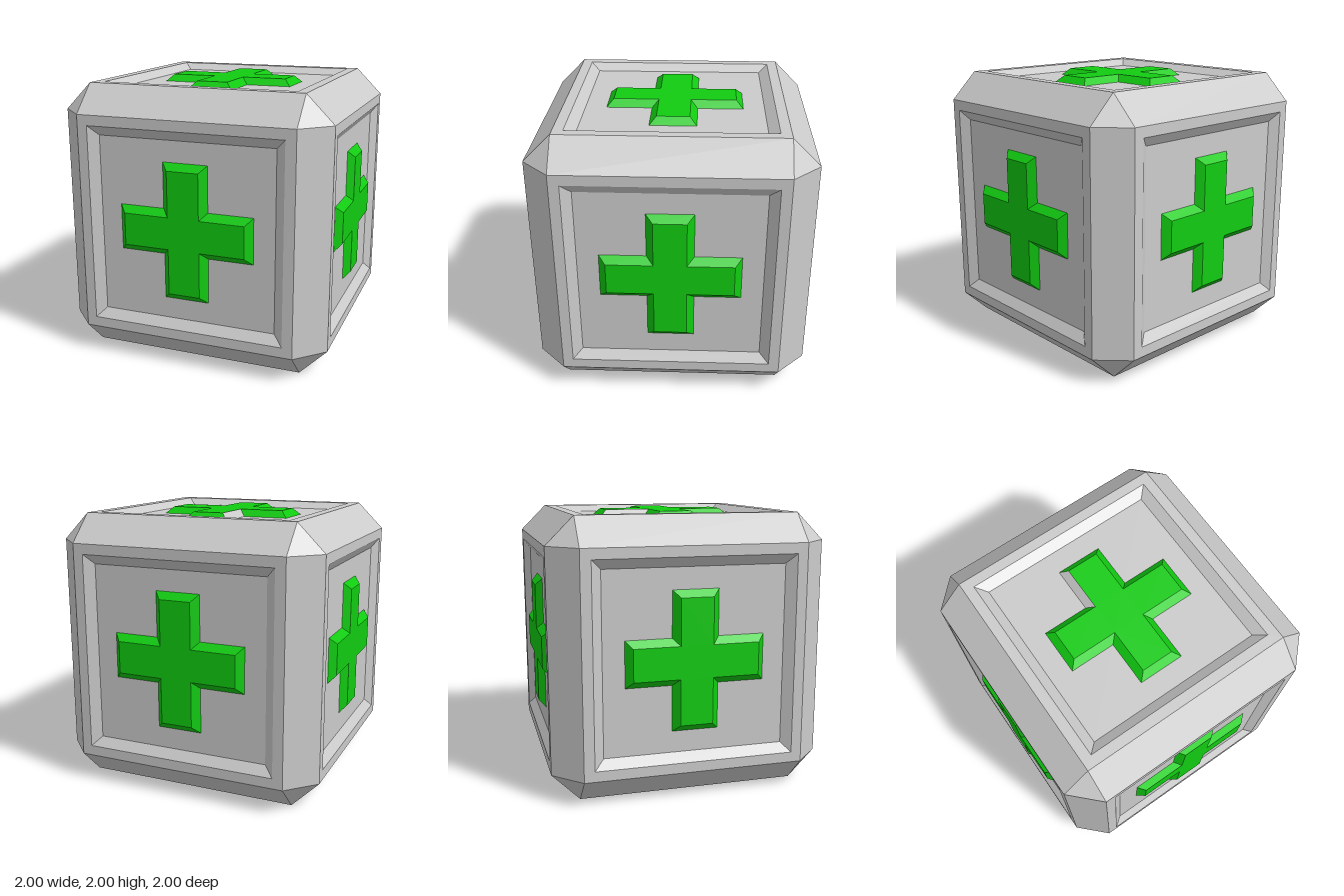
import * as THREE from 'three';
import { mergeGeometries } from 'three/addons/utils/BufferGeometryUtils.js';

const grey = new THREE.MeshStandardMaterial({ color: 0xcccccc, flatShading: true });
const green = new THREE.MeshStandardMaterial({ color: 0x11cc11, flatShading: true });
const QUARTER = Math.PI / 2;

// Flat convex polygon from counter-clockwise corners
function polygon(...corners) {
  const points = [];
  for (let i = 1; i < corners.length - 1; i++) points.push(corners[0], corners[i], corners[i + 1]);
  const g = new THREE.BufferGeometry().setFromPoints(points.map(p => new THREE.Vector3(...p)));
  g.computeVertexNormals();
  return g;
}

// One polygon per side of the band between two matching loops
const band = (a, b) => a.map((p, i) => {
  const j = (i + 1) % a.length;
  return polygon(p, a[j], b[j], b[i]);
});

const squareLoop = (h, z) => [[-h, -h, z], [h, -h, z], [h, h, z], [-h, h, z]];

// Cross outline: arm reach r, half width w, starting at the bottom left
const crossLoop = (r, w, z) => [
  [-w, -r], [w, -r], [w, -w], [r, -w], [r, w], [w, w],
  [w, r], [-w, r], [-w, w], [-r, w], [-r, -w], [-w, -w],
].map(([x, y]) => [x, y, z]);

function addMesh(parent, name, geometries, material) {
  const mesh = new THREE.Mesh(mergeGeometries(geometries), material);
  mesh.name = name;
  parent.add(mesh);
}

function createFace(name, hasGreySide) {
  const face = new THREE.Group();
  face.name = name;

  // Rim, sloping recess walls and sunken floor
  const outer = squareLoop(0.8, 1);
  const lip = squareLoop(0.725, 1);
  const floor = squareLoop(0.655, 0.95);
  addMesh(face, 'recessedPanel', [...band(outer, lip), ...band(lip, floor), polygon(...floor)], grey);

  // Bevelled cross standing on the floor
  const top = crossLoop(0.45, 0.117, 1);
  const sides = band(crossLoop(0.5, 0.167, 0.95), top);
  if (hasGreySide) addMesh(face, 'greyCrossSide', sides.splice(7, 1), grey);
  addMesh(face, 'crossSides', sides, green);
  const cap = new THREE.ShapeGeometry(new THREE.Shape(top.map(([x, y]) => new THREE.Vector2(x, y))));
  cap.translate(0, 0, 1);
  addMesh(face, 'crossTop', [cap], green);
  return face;
}

export function createModel() {
  const model = new THREE.Group();
  model.name = 'healthCrate';
  const cube = new THREE.Group();
  cube.name = 'cube';
  cube.position.y = 1;
  model.add(cube);

  // Six faces
  const turns = {
    frontFace: [0, 0], rightFace: [0, -1], backFace: [0, 2], leftFace: [0, 1],
    topFace: [-1, 0], bottomFace: [1, 0],
  };
  for (const [name, [x, y]] of Object.entries(turns)) {
    const face = createFace(name, name === 'topFace');
    face.rotation.set(x * QUARTER, y * QUARTER, 0);
    cube.add(face);
  }

  // Twelve edge chamfers and eight corner triangles
  const edge = polygon([-0.8, 0.8, 1], [0.8, 0.8, 1], [0.8, 1, 0.8], [-0.8, 1, 0.8]);
  const corner = polygon([0.8, 0.8, 1], [1, 0.8, 0.8], [0.8, 1, 0.8]);
  const edges = [], corners = [];
  for (let k = 0; k < 4; k++) {
    const a = k * QUARTER;
    edges.push(
      edge.clone().rotateX(a),
      edge.clone().rotateY(QUARTER).rotateZ(a),
      edge.clone().rotateZ(QUARTER).rotateY(a),
    );
    corners.push(corner.clone().rotateY(a), corner.clone().rotateX(Math.PI).rotateY(a));
  }
  addMesh(cube, 'edgeChamfers', edges, grey);
  addMesh(cube, 'cornerChamfers', corners, grey);
  return model;
}
